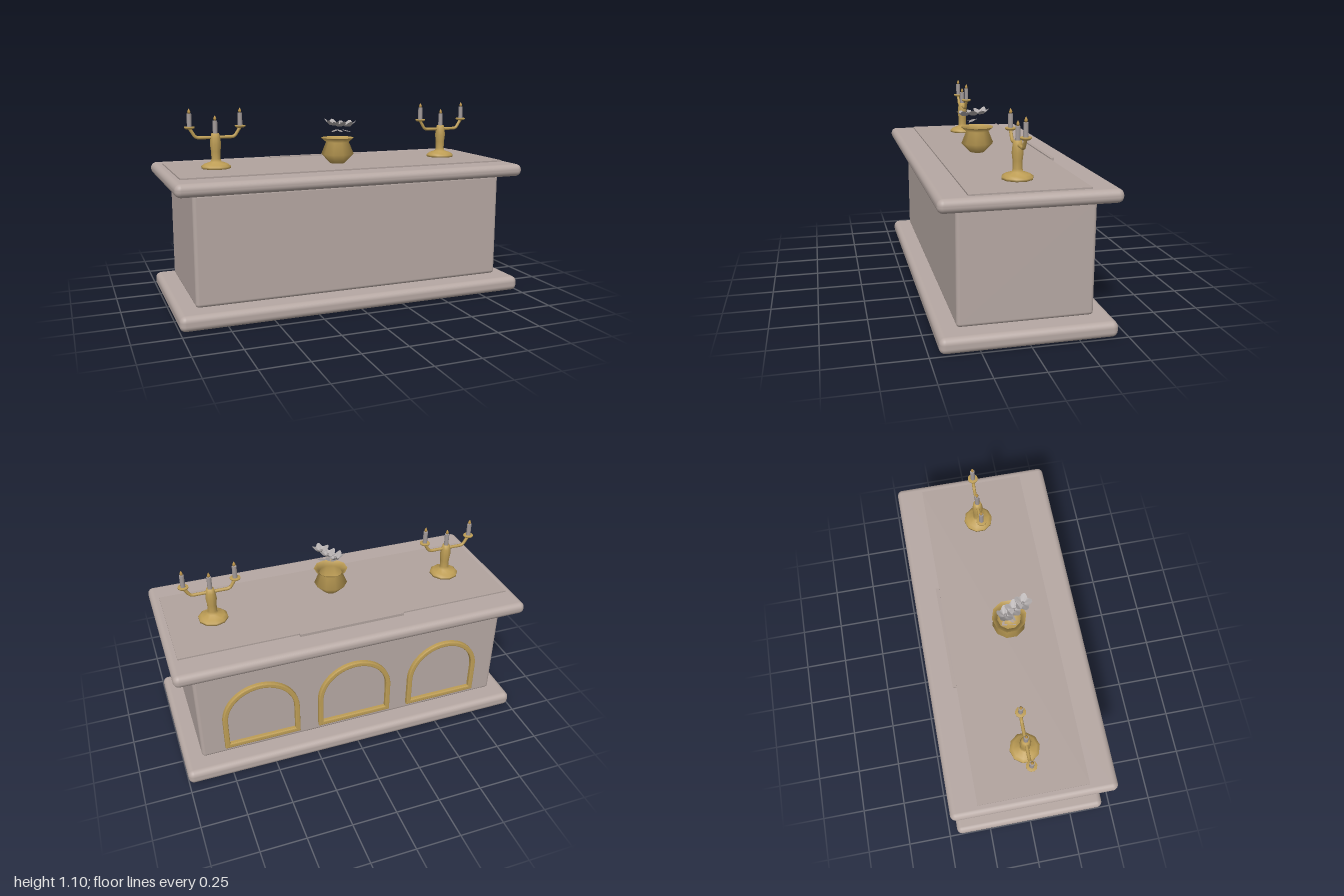
import * as THREE from 'three';
import { RoundedBoxGeometry } from 'three/addons/geometries/RoundedBoxGeometry.js';

const makeMaterial = (name, color, extra = {}) => {
  const m = new THREE.MeshStandardMaterial({ color, ...extra });
  m.name = name;
  return m;
};

export function createModel() {
  const stone = makeMaterial('stone', 0xb6a8a3);
  const cloth = makeMaterial('cloth', 0xb1a39e);
  const gold = makeMaterial('gold', 0xbd9d55, { side: THREE.DoubleSide });
  const wax = makeMaterial('wax', 0xa39b9a);
  const flame = makeMaterial('flame', 0xba9248);
  const petal = makeMaterial('petal', 0xb0abab, { side: THREE.DoubleSide });
  const leaf = makeMaterial('leaf', 0x9c9797, { side: THREE.DoubleSide });

  const root = new THREE.Group();
  root.name = 'altar';

  const add = (parent, name, geometry, material, x = 0, y = 0, z = 0) => {
    const mesh = new THREE.Mesh(geometry, material);
    mesh.name = name;
    mesh.position.set(x, y, z);
    parent.add(mesh);
    return mesh;
  };
  const lathe = (points, sides) =>
    new THREE.LatheGeometry(points.map(([r, y]) => new THREE.Vector2(r, y)), sides);

  // Stone block between two overhanging slabs
  add(root, 'baseSlab', new RoundedBoxGeometry(2, 0.083, 0.9, 4, 0.032), stone, 0, 0.0425, 0);
  add(root, 'body', new RoundedBoxGeometry(1.8, 0.6, 0.7, 4, 0.02), stone, 0, 0.39, 0);
  add(root, 'topSlab', new RoundedBoxGeometry(2, 0.07, 0.9, 4, 0.032), stone, 0, 0.725, 0);

  // Altar cloth with its narrow rear strip
  add(root, 'cloth', new THREE.BoxGeometry(1.9, 0.01, 0.6), cloth, 0, 0.763, 0);
  add(root, 'clothStrip', new THREE.BoxGeometry(0.6, 0.09, 0.02), cloth, 0, 0.73, -0.31);

  // Arched frames on the back
  const archPath = (path, half, bottom, spring) => {
    path.moveTo(-half, bottom);
    path.lineTo(half, bottom);
    path.lineTo(half, spring);
    path.absarc(0, spring, half, 0, Math.PI, false);
    path.lineTo(-half, bottom);
    return path;
  };
  const bevel = 0.006;
  const frame = archPath(new THREE.Shape(), 0.219 - bevel, 0.135 + bevel, 0.32);
  frame.holes.push(archPath(new THREE.Path(), 0.191 + bevel, 0.163 - bevel, 0.32));
  const frameGeometry = new THREE.ExtrudeGeometry(frame, {
    depth: 0.018, bevelEnabled: true, bevelThickness: bevel, bevelSize: bevel,
    bevelSegments: 2, curveSegments: 16,
  });
  for (const x of [-0.55, 0, 0.55]) add(root, 'archFrame', frameGeometry, gold, x, 0, -0.367);

  // Candelabra: turned stem, two bent arms, three candles
  const stemGeometry = lathe([[0, 0.768], [0.082, 0.768], [0.082, 0.78], [0.065, 0.792], [0.03, 0.804],
    [0.025, 0.82], [0.026, 0.86], [0.031, 0.9], [0.027, 0.935], [0.021, 0.96], [0, 0.96]], 10);
  const dishGeometry = lathe([[0, 0], [0.02, 0], [0.029, 0.006], [0.029, 0.013], [0, 0.013]], 10);
  const candleGeometry = new THREE.CylinderGeometry(0.013, 0.013, 0.07, 10);
  const flameGeometry = lathe([[0, 0], [0.007, 0.005], [0.009, 0.012], [0.005, 0.022], [0, 0.031]], 8);
  const addCandle = (parent, x, y) => {
    add(parent, 'candle', candleGeometry, wax, x, y + 0.035, 0);
    add(parent, 'flame', flameGeometry, flame, x, y + 0.068, 0);
  };
  for (const x of [-0.7, 0.7]) {
    const candelabra = new THREE.Group();
    candelabra.name = 'candelabra';
    candelabra.position.x = x;
    add(candelabra, 'stem', stemGeometry, gold);
    addCandle(candelabra, 0, 0.96);
    for (const s of [-1, 1]) {
      const path = new THREE.CurvePath();
      const at = (px, py) => new THREE.Vector3(s * px, py, 0);
      path.add(new THREE.LineCurve3(at(0, 0.938), at(0.09, 0.938)));
      path.add(new THREE.QuadraticBezierCurve3(at(0.09, 0.938), at(0.105, 0.938), at(0.115, 0.95)));
      path.add(new THREE.LineCurve3(at(0.115, 0.95), at(0.14, 0.99)));
      add(candelabra, 'arm', new THREE.TubeGeometry(path, 18, 0.009, 8), gold);
      add(candelabra, 'dish', dishGeometry, gold, s * 0.14, 0.987, 0);
      addCandle(candelabra, s * 0.14, 1.0);
    }
    root.add(candelabra);
  }

  // Open flared vase
  add(root, 'vase', lathe([[0, 0.768], [0.042, 0.768], [0.094, 0.822], [0.066, 0.89], [0.096, 0.915]], 10),
    gold, 0, 0, 0.05);

  // Cupped blossoms with five wavy petals
  const blossom = lathe([[0.004, -0.016], [0.018, -0.012], [0.034, 0], [0.044, 0.008]], 30);
  const p = blossom.attributes.position;
  for (let i = 0; i < p.count; i++) {
    const x = p.getX(i), z = p.getZ(i), r = Math.hypot(x, z);
    const wave = Math.cos(5 * Math.atan2(z, x)) * r / 0.044;
    p.setXYZ(i, x * (1 + 0.16 * wave), p.getY(i) + 0.007 * wave, z * (1 + 0.16 * wave));
  }
  blossom.computeVertexNormals();
  const flowers = [[-0.02, 1.0, 0.025, 0.1], [0.005, 0.997, 0.075, -0.1], [0.03, 1.0, 0.13, 0.15]];
  flowers.forEach(([x, y, z, tilt], i) => {
    add(root, 'blossom', blossom, petal, x, y, z).rotation.set(tilt, i * 1.1, -tilt);
    add(root, 'blossomCentre', new THREE.SphereGeometry(0.009, 8, 6), leaf, x, y - 0.008, z);
  });

  // Small pointed leaves under the blossoms
  const leafShape = new THREE.Shape();
  leafShape.moveTo(-0.032, 0);
  leafShape.quadraticCurveTo(0, 0.024, 0.032, 0);
  leafShape.quadraticCurveTo(0, -0.024, -0.032, 0);
  const leafGeometry = new THREE.ShapeGeometry(leafShape, 6).rotateX(-Math.PI / 2);
  for (const [x, z, turn, tilt] of [[-0.022, 0.06, 0.6, 0.2], [0.04, 0.09, -0.9, -0.2], [0.005, 0.08, 1.6, 0.15]]) {
    add(root, 'leaf', leafGeometry, leaf, x, 0.956, z).rotation.set(0, turn, tilt);
  }
  return root;
}
